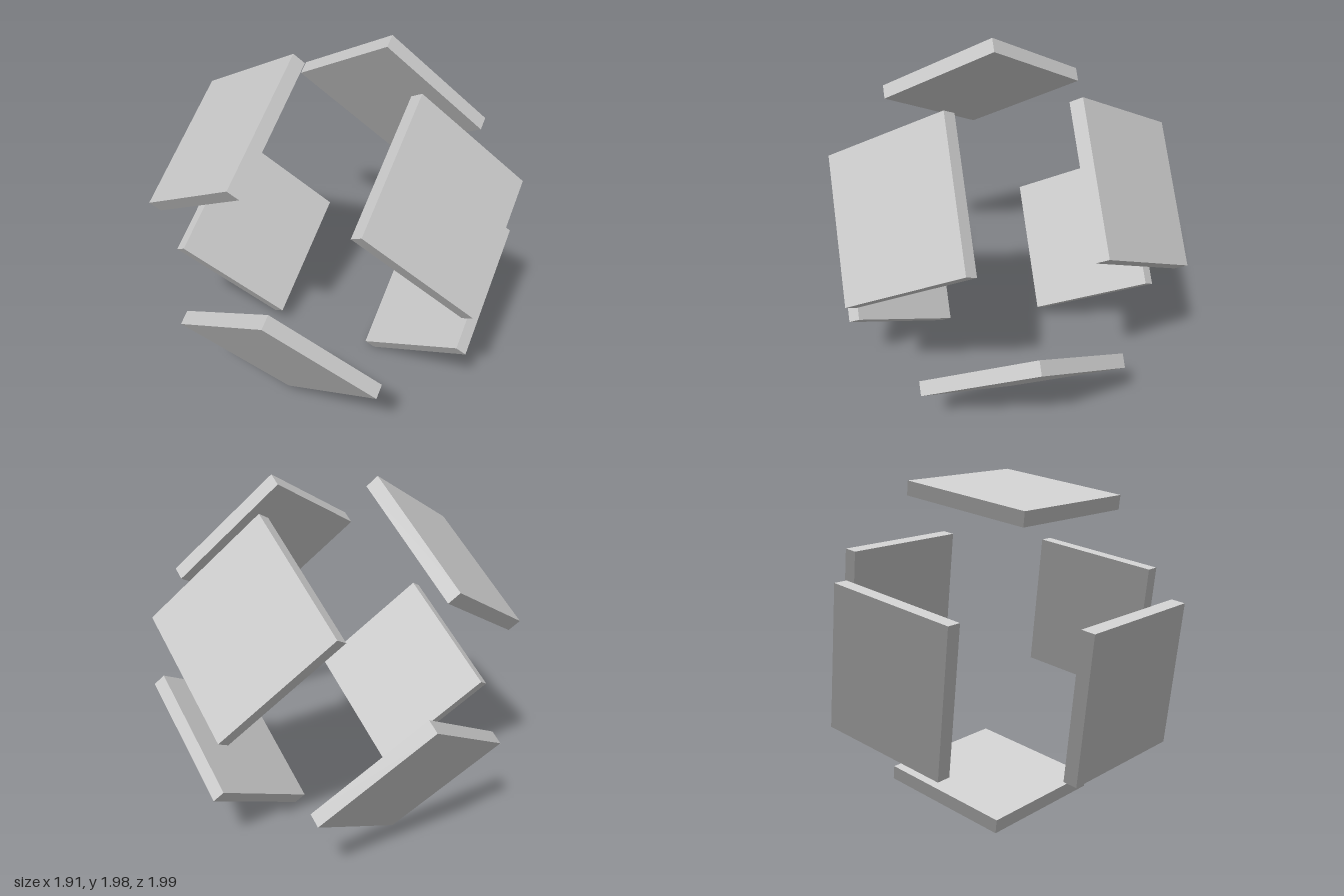
import * as THREE from 'three';

const SIZE = 0.777;      // side of each square plate
const THICK = 0.077;     // plate thickness
const OUTER = 0.853;     // centre to outer face

export function createModel() {
  const model = new THREE.Group();
  model.name = 'explodedCube';
  const material = new THREE.MeshStandardMaterial({ color: 0xcccccc, flatShading: true });

  // Tilted frame shared by all six plates
  const frame = new THREE.Group();
  frame.name = 'tiltedPlates';
  const xAxis = new THREE.Vector3(0.84, 0.497, 0.22).normalize();
  const yAxis = new THREE.Vector3(-0.537, 0.703, 0.467);
  const zAxis = new THREE.Vector3().crossVectors(xAxis, yAxis).normalize();
  yAxis.crossVectors(zAxis, xAxis);
  frame.quaternion.setFromRotationMatrix(new THREE.Matrix4().makeBasis(xAxis, yAxis, zAxis));
  frame.position.y = 0.991;
  model.add(frame);

  // One pair of opposite plates per cube axis
  const names = { x: ['leftPlate', 'rightPlate'], y: ['topPlate', 'bottomPlate'], z: ['frontPlate', 'backPlate'] };
  for (const axis of ['x', 'y', 'z']) {
    const dims = new THREE.Vector3(SIZE, SIZE, SIZE);
    dims[axis] = THICK;
    const geometry = new THREE.BoxGeometry(dims.x, dims.y, dims.z);
    [1, -1].forEach((side, i) => {
      const plate = new THREE.Mesh(geometry, material);
      plate.name = names[axis][i];
      plate.position[axis] = side * (OUTER - THICK / 2);
      frame.add(plate);
    });
  }
  return model;
}
